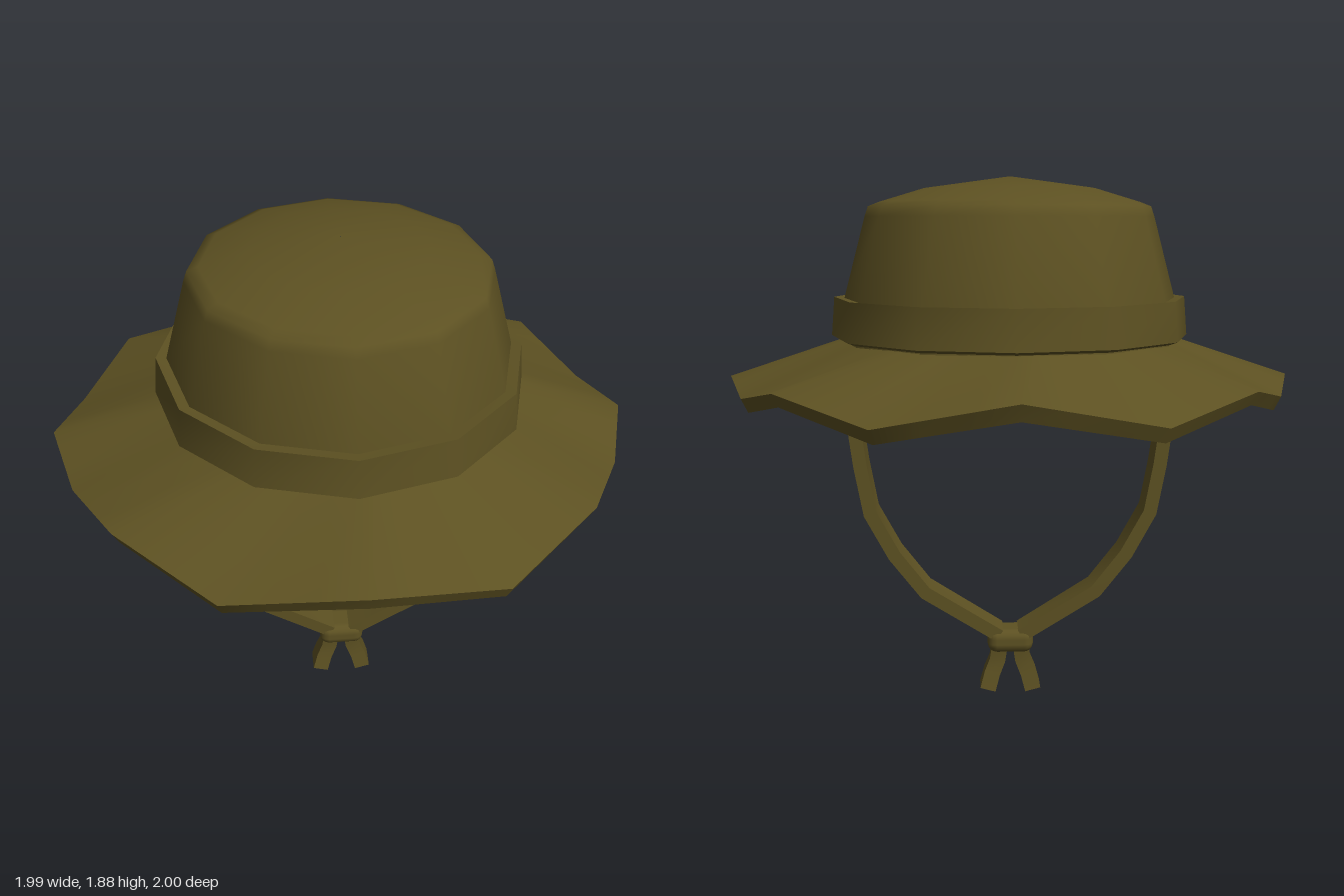
import * as THREE from 'three';
import { toCreasedNormals } from 'three/addons/utils/BufferGeometryUtils.js';
import { RoundedBoxGeometry } from 'three/addons/geometries/RoundedBoxGeometry.js';

const SIDES = 12;

// Skin a list of closed rings (counterclockwise as seen from the last ring)
function loft(rings, crease, caps = false) {
  const pos = [];
  const tri = (...pts) => pts.forEach(p => pos.push(p.x, p.y, p.z));
  const n = rings[0].length;
  for (let j = 0; j < rings.length - 1; j++) {
    for (let i = 0; i < n; i++) {
      const k = (i + 1) % n;
      const a = rings[j][i], b = rings[j][k], c = rings[j + 1][k], d = rings[j + 1][i];
      tri(a, b, c);
      tri(a, c, d);
    }
  }
  if (caps) {
    const first = rings[0], last = rings[rings.length - 1];
    for (let i = 1; i < n - 1; i++) {
      tri(first[0], first[i + 1], first[i]);
      tri(last[0], last[i], last[i + 1]);
    }
  }
  const geo = new THREE.BufferGeometry();
  geo.setAttribute('position', new THREE.Float32BufferAttribute(pos, 3));
  return toCreasedNormals(geo, crease);
}

// Horizontal oval ring, starting at the front and turning towards +x
function oval(rx, rz, y) {
  return Array.from({ length: SIDES }, (_, i) => {
    const a = (i / SIDES) * Math.PI * 2;
    return new THREE.Vector3(rx * Math.sin(a), y, rz * Math.cos(a));
  });
}

// Subdivide the edges of a ring so rings with different side counts can be joined
function resample(ring, count) {
  return Array.from({ length: count }, (_, i) => {
    const t = (i * ring.length) / count, k = Math.floor(t);
    return ring[k].clone().lerp(ring[(k + 1) % ring.length], t - k);
  });
}

// Flat strap along [x, y, halfWidth] points, lying in the xy plane
function strap(points, halfThick, mirror) {
  const path = points.map(p => new THREE.Vector3(p[0] * mirror, p[1], 0));
  const rings = path.map((p, i) => {
    const d = path[Math.min(i + 1, path.length - 1)].clone()
      .sub(path[Math.max(i - 1, 0)]).normalize();
    const n = new THREE.Vector3(d.y, -d.x, 0).multiplyScalar(halfThick);
    return [[1, 1], [-1, 1], [-1, -1], [1, -1]].map(([z, s]) =>
      new THREE.Vector3(p.x + n.x * s, p.y + n.y * s, z * points[i][2]));
  });
  return loft(rings, 0.9, true);
}

// Wavy brim edge: one quarter [x, z, bottomY, topY], mirrored to all four
function brimEdge(inset, useTop) {
  const quarter = [
    [0, 1, 1.16, 1.215], [0.443, 0.885, 1.077, 1.125], [0.763, 0.603, 1.15, 1.195],
    [0.914, 0.282, 1.087, 1.135], [0.995, 0, 1.12, 1.18],
  ];
  const pt = (q, sx, sz) => new THREE.Vector3(
    q[0] * sx * inset, useTop ? q[3] : q[2], q[1] * sz * inset);
  const ring = [];
  for (let i = 0; i < 16; i++) {
    const step = i % 8, idx = step <= 4 ? step : 8 - step;
    ring.push(pt(quarter[idx], i <= 8 ? 1 : -1, i <= 4 || i >= 12 ? 1 : -1));
  }
  return ring;
}

export function createModel() {
  const hat = new THREE.Group();
  hat.name = 'bucketHat';
  const olive = new THREE.MeshStandardMaterial({ color: 0x5d5122 });
  olive.name = 'olive cloth';

  const add = (name, geo) => {
    const mesh = new THREE.Mesh(geo, olive);
    mesh.name = name;
    hat.add(mesh);
    return mesh;
  };

  // Crown: tapered wall, narrow bevelled shoulder and shallow dome
  add('crown', loft([
    oval(0.605, 0.635, 1.28), oval(0.585, 0.612, 1.46), oval(0.51, 0.54, 1.74),
    oval(0.498, 0.528, 1.775), oval(0.46, 0.488, 1.79),
    oval(0.3, 0.31, 1.838), oval(0.002, 0.002, 1.878),
  ], 1.3));

  // Lining: inner ceiling and inside wall
  add('lining', loft([
    oval(0.002, 0.002, 1.475), oval(0.545, 0.575, 1.465), oval(0.575, 0.605, 1.225),
  ], 0.6));

  // Band: raised ring around the base of the crown
  add('band', loft([
    oval(0.595, 0.625, 1.312), oval(0.633, 0.663, 1.325),
    oval(0.622, 0.654, 1.46), oval(0.58, 0.605, 1.455),
  ], 0.6));

  // Brim: underside, rim and top
  add('brim', loft([
    oval(0.575, 0.605, 1.225), brimEdge(0.975, false), brimEdge(1, true), oval(0.59, 0.62, 1.315),
  ].map(r => resample(r, 48)), 1.1));

  // Chin straps and loose tails, mirrored
  for (const [side, m] of [['left', 1], ['right', -1]]) {
    add(side + 'Strap', strap([
      [0.04, 0.222, 0.06], [0.31, 0.39, 0.067], [0.42, 0.53, 0.067], [0.505, 0.685, 0.067],
      [0.538, 0.86, 0.067], [0.573, 1.12, 0.067], [0.585, 1.26, 0.067],
    ], 0.024, m));
    add(side + 'Tail', strap([
      [0.083, 0.01, 0.045], [0.067, 0.07, 0.036], [0.047, 0.12, 0.03], [0.038, 0.18, 0.035],
    ], 0.029, m));
  }

  // Knot where the straps meet
  add('knot', new RoundedBoxGeometry(0.168, 0.088, 0.138, 2, 0.035)).position.y = 0.199;

  return hat;
}
